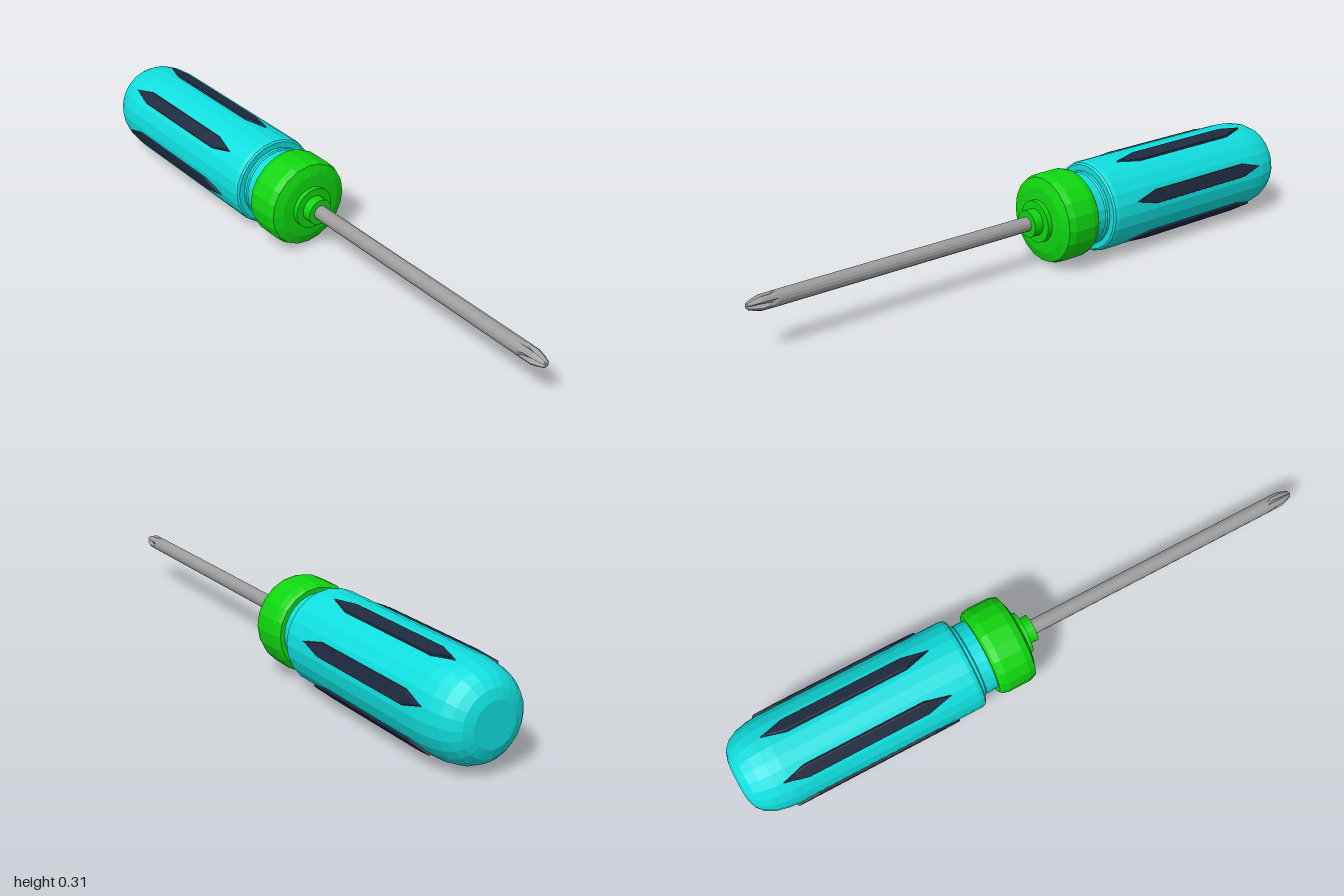
import * as THREE from 'three';

const AXIS_Y = 0.158;

const paint = (name, color) => {
  const m = new THREE.MeshStandardMaterial({ color, flatShading: true });
  m.name = name;
  return m;
};

// Turned part along the x axis from [x, radius] pairs
function turned(name, profile, segments, material) {
  const points = profile.map(([x, r]) => new THREE.Vector2(r, x));
  const geometry = new THREE.LatheGeometry(points, segments).rotateZ(-Math.PI / 2);
  const mesh = new THREE.Mesh(geometry, material);
  mesh.name = name;
  return mesh;
}

export function createModel() {
  const teal = paint('teal plastic', 0x10dede);
  const green = paint('green plastic', 0x0fd60f);
  const steel = paint('grey steel', 0x9c9c9c);
  const rubber = paint('dark rubber', 0x1f2a40);

  const model = new THREE.Group();
  model.name = 'screwdriver';
  const body = new THREE.Group();
  body.name = 'body';
  body.position.y = AXIS_Y;
  model.add(body);

  // Handle with rounded butt, and the narrower neck behind the collar
  body.add(turned('handle', [
    [-1, 0], [-1, 0.07], [-0.99, 0.1], [-0.97, 0.122], [-0.94, 0.138], [-0.9, 0.147], [-0.86, 0.151],
    [-0.235, 0.151], [-0.222, 0.148], [-0.217, 0.142], [-0.217, 0.1],
  ], 24, teal));
  body.add(turned('neck', [
    [-0.22, 0.1], [-0.22, 0.123], [-0.207, 0.123], [-0.203, 0.119], [-0.155, 0.119],
  ], 24, teal));

  // Collar ring and its two stepped bosses
  body.add(turned('collar', [
    [-0.163, 0], [-0.163, 0.134], [-0.155, 0.142], [-0.135, 0.147], [-0.06, 0.147],
    [-0.038, 0.14], [-0.027, 0.108], [-0.024, 0.07], [-0.024, 0],
  ], 20, green));
  body.add(turned('wideBoss', [[-0.03, 0.069], [-0.008, 0.069], [-0.008, 0]], 32, green));
  body.add(turned('smallBoss', [[-0.01, 0.044], [0.024, 0.044], [0.024, 0]], 24, green));

  // Shaft with a tapered cross tip: grooves deepen toward the point
  const shaft = turned('shaft', [
    [0.02, 0.024], [0.905, 0.024], [0.925, 0.024], [0.955, 0.0235], [0.975, 0.018], [0.993, 0.011], [1, 0],
  ], 16, steel);
  const pos = shaft.geometry.attributes.position;
  for (let i = 0; i < pos.count; i++) {
    const x = pos.getX(i), y = pos.getY(i), z = pos.getZ(i);
    const groove = Math.max(0, Math.cos(4 * Math.atan2(y, z)));
    const depth = THREE.MathUtils.clamp((x - 0.905) / 0.05, 0, 1);
    const k = 1 - 0.55 * groove * depth;
    pos.setXYZ(i, x, y * k, z * k);
  }
  shaft.geometry.computeVertexNormals();
  body.add(shaft);

  // Six pointed grip strips set into the handle
  const w = 0.018;
  const outline = new THREE.Shape([
    [-0.87, 0], [-0.8, -w], [-0.4, -w], [-0.32, 0], [-0.4, w], [-0.8, w],
  ].map(([x, s]) => new THREE.Vector2(x, s)));
  const strip = new THREE.ExtrudeGeometry(outline, {
    depth: 0.022, bevelThickness: 0.007, bevelSize: 0.005, bevelSegments: 2,
  }).translate(0, 0, 0.128);
  for (let i = 0; i < 6; i++) {
    const grip = new THREE.Mesh(strip, rubber);
    grip.name = 'gripStrip' + (i + 1);
    grip.rotation.x = -(Math.PI / 4 + i * Math.PI / 3);
    body.add(grip);
  }
  return model;
}
